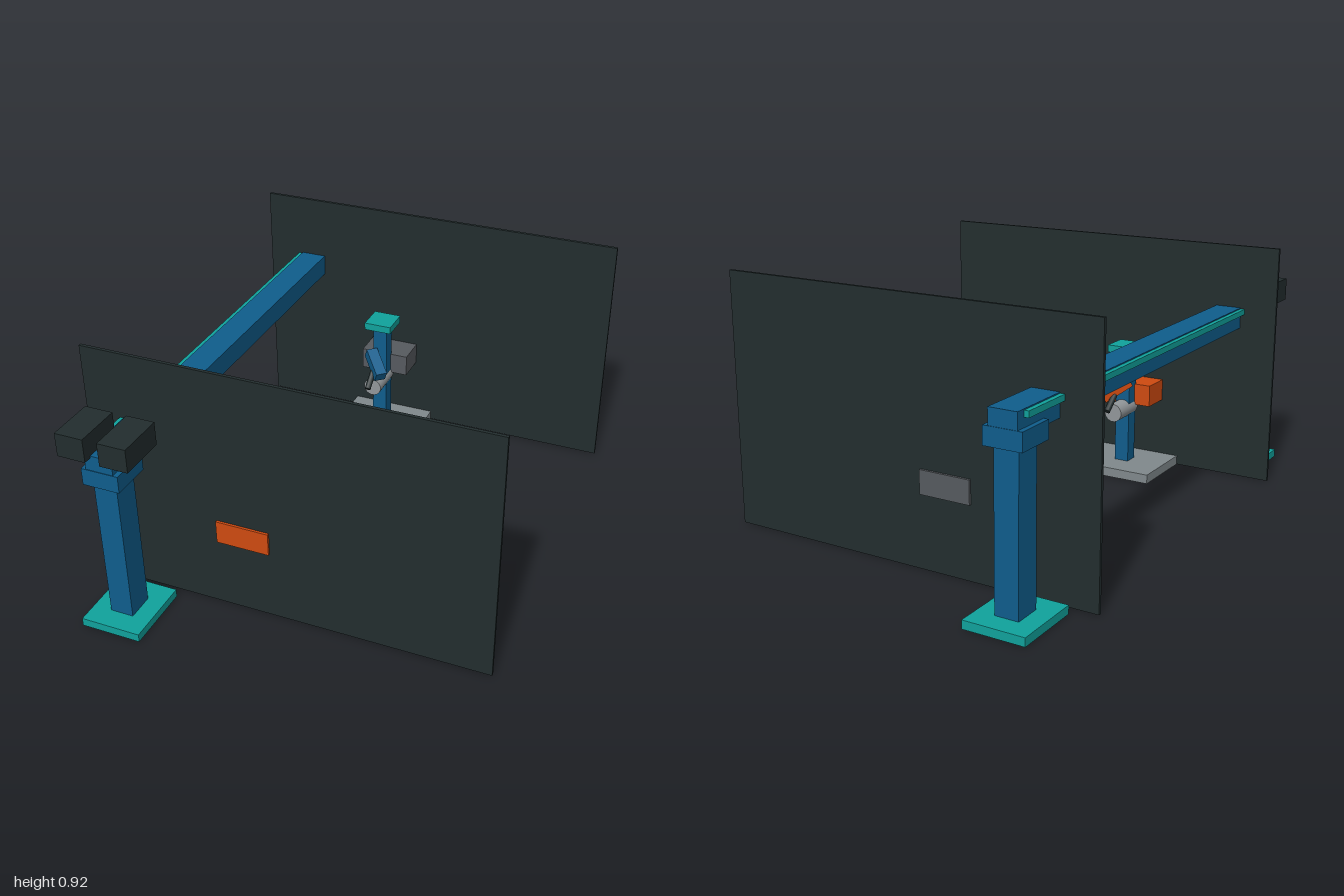
import * as THREE from 'three';

const mat = (name, color) => {
  const m = new THREE.MeshStandardMaterial({ color });
  m.name = name;
  return m;
};

export function createModel() {
  const blue = mat('blue', 0x0f5d8c);
  const teal = mat('teal', 0x10a29c);
  const black = mat('charcoal', 0x222d2e);
  const orange = mat('orange', 0xcf4a10);
  const plateGrey = mat('plateGrey', 0x80898c);
  const steel = mat('steel', 0x92979a);
  const darkGrey = mat('darkGrey', 0x565a5f);

  const root = new THREE.Group();
  root.name = 'weldingCell';

  const add = (parent, name, geometry, material, x, y, z) => {
    const mesh = new THREE.Mesh(geometry, material);
    mesh.name = name;
    mesh.position.set(x, y, z);
    parent.add(mesh);
    return mesh;
  };
  // Box given by its extents on each axis
  const box = (parent, name, material, [x0, x1], [y0, y1], [z0, z1]) =>
    add(parent, name, new THREE.BoxGeometry(x1 - x0, y1 - y0, z1 - z0), material,
      (x0 + x1) / 2, (y0 + y1) / 2, (z0 + z1) / 2);
  const span = (side, a, b) => (side > 0 ? [a, b] : [-b, -a]);

  // Gantry beam with its cable rail
  box(root, 'beam', blue, [-0.58, -0.48], [0.6, 0.68], [-0.945, 0.945]);
  box(root, 'rail', teal, [-0.596, -0.575], [0.655, 0.676], [-0.91, 0.91]);

  // Twin drive units above the front post
  for (const x of [-0.607, -0.453])
    box(root, 'driveUnit', black, [x - 0.051, x + 0.051], [0.673, 0.758], [0.8, 0.975]);

  for (const side of [1, -1]) {
    // Supporting post
    const post = new THREE.Group();
    post.name = side > 0 ? 'frontPost' : 'backPost';
    root.add(post);
    box(post, 'postFoot', teal, [-0.64, -0.42], [0, 0.03], span(side, 0.747, 1));
    box(post, 'postColumn', blue, [-0.572, -0.487], [0.03, 0.565], span(side, 0.825, 0.925));
    box(post, 'postCap', blue, [-0.597, -0.463], [0.562, 0.624], span(side, 0.8, 0.947));

    // Screen panel
    box(root, 'screen', black, [-0.722, 0.722], [0, 0.92], span(side, 0.694, 0.706));

    // Work station
    const station = new THREE.Group();
    station.name = side > 0 ? 'frontStation' : 'backStation';
    root.add(station);
    const cx = -0.165;
    box(station, 'stationBase', plateGrey, [cx - 0.17, cx + 0.17], [0, 0.036], span(side, 0.415, 0.693));
    box(station, 'stationColumn', blue, [cx - 0.029, cx + 0.029], [0.036, 0.486], span(side, 0.527, 0.584));
    box(station, 'stationCap', teal, [cx - 0.055, cx + 0.055], [0.485, 0.514], span(side, 0.498, 0.61));
    box(station, 'controlBox', side > 0 ? orange : darkGrey,
      [-0.26, -0.067], [0.263, 0.348], span(side, 0.575, 0.715));

    const barrel = add(station, 'barrel', new THREE.CylinderGeometry(0.036, 0.036, 0.145, 24),
      steel, cx, 0.255, side * 0.518);
    barrel.rotation.x = Math.PI / 2;

    // Slanted arm
    const arm = add(station, 'arm', new THREE.BoxGeometry(0.045, 0.045, 0.125),
      side > 0 ? orange : blue, -0.16, 0.35, side * 0.47);
    arm.lookAt(-0.16 + 0.6, 0.35 - 0.48, side * (0.47 - 0.64));

    // Torch nozzle pointing down and inwards
    const torch = add(station, 'torch', new THREE.CylinderGeometry(0.012, 0.012, 0.08, 12),
      black, cx, 0.3, side * 0.425);
    torch.rotation.x = side * 0.87;
  }
  return root;
}
